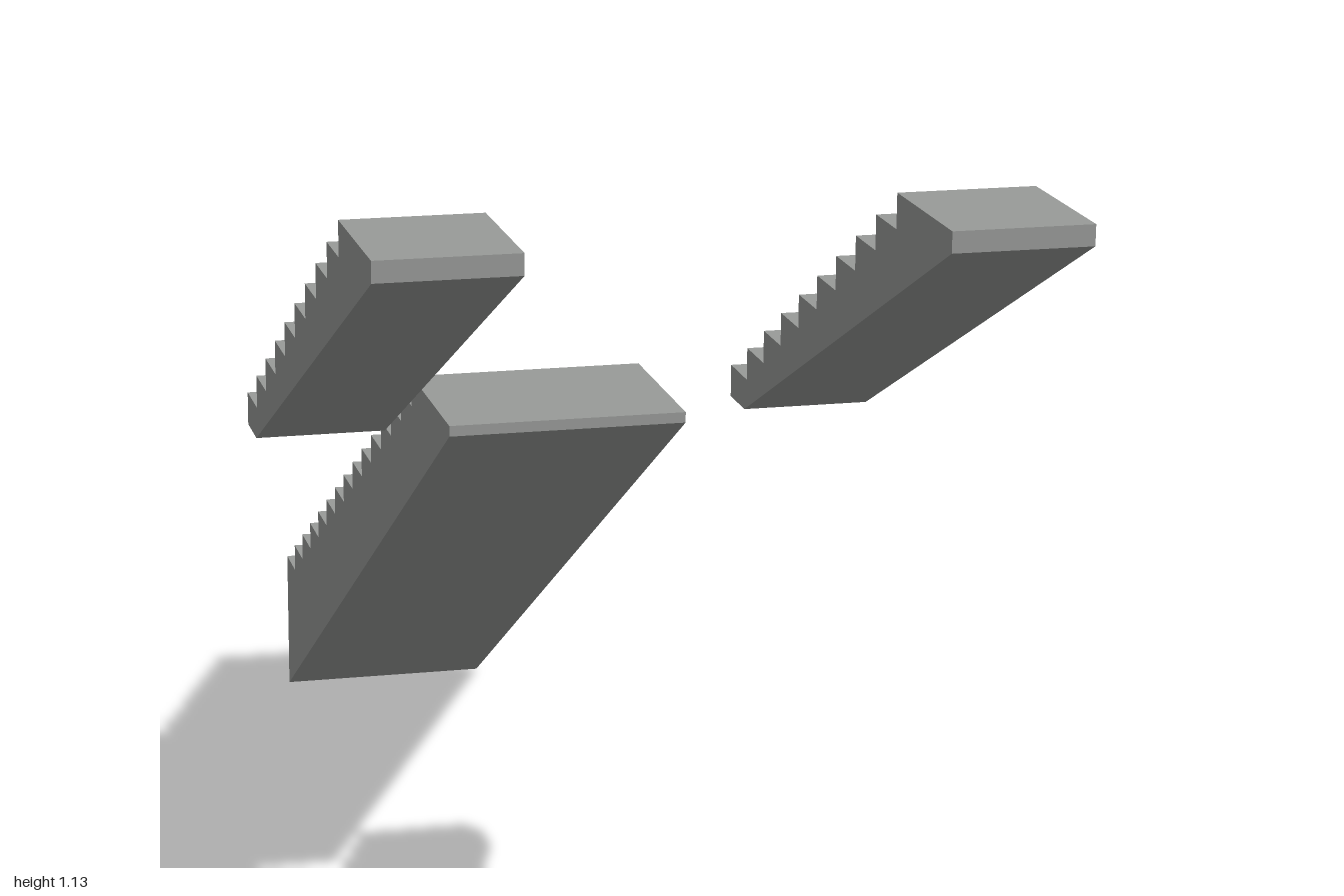
import * as THREE from 'three';

const concrete = new THREE.MeshStandardMaterial({ color: 0x999b99 });
concrete.name = 'concrete grey';

// Extrudes a stepped side profile across x; steps climb towards +z and end in a landing.
function flight(name, { x0, x1, zStart, yStart, steps, run, rise, zEnd, underside }) {
  const profile = [];
  for (let i = 0; i < steps; i++) {
    const y = yStart + i * rise;
    profile.push([zStart + i * run, y], [zStart + (i + 1) * run, y]);
  }
  const yTop = yStart + steps * rise;
  profile.push([zStart + steps * run, yTop], [zEnd, yTop], ...underside);

  const shape = new THREE.Shape(profile.map(([z, y]) => new THREE.Vector2(-z, y)));
  const geometry = new THREE.ExtrudeGeometry(shape, { depth: x1 - x0, bevelEnabled: false });
  geometry.rotateY(Math.PI / 2).translate(x0, 0, 0);
  const mesh = new THREE.Mesh(geometry, concrete);
  mesh.name = name;
  return mesh;
}

export function createModel() {
  const group = new THREE.Group();
  group.name = 'splitStaircase';

  // Wide lower flight with a sloping soffit
  group.add(flight('lowerFlight', {
    x0: -0.142, x1: 0.147, zStart: -1, yStart: 0.2, steps: 14,
    run: 1 / 14, rise: 0.54 / 14, zEnd: 0.235,
    underside: [[0.235, 0.727], [-1, 0]],
  }));

  // Pair of narrow upper flights
  for (const [name, x0, x1] of [['upperFlightLeft', 0.219, 0.371], ['upperFlightRight', -0.373, -0.22]]) {
    group.add(flight(name, {
      x0, x1, zStart: 0.175, yStart: 0.779, steps: 9,
      run: 0.0712, rise: 0.039, zEnd: 1,
      underside: [[1, 1.107], [0.237, 0.74], [0.175, 0.74]],
    }));
  }
  return group;
}
